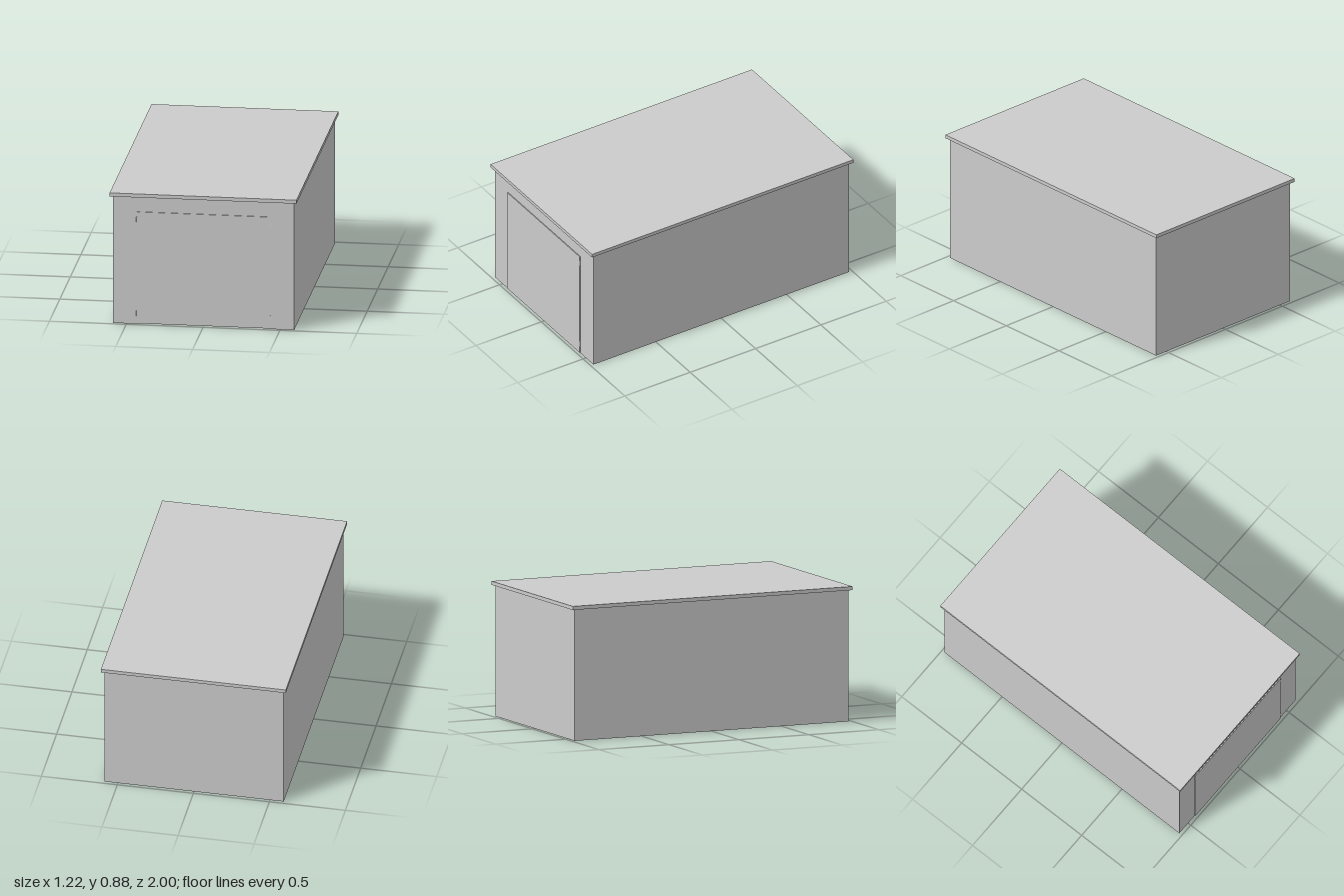
import * as THREE from 'three';

const material = new THREE.MeshStandardMaterial({ color: 0xcccccc, flatShading: true });

export function createModel() {
  const model = new THREE.Group();
  model.name = 'garage';

  const add = (name, geometry, x, y, z, parent = model) => {
    const mesh = new THREE.Mesh(geometry, material);
    mesh.name = name;
    mesh.position.set(x, y, z);
    parent.add(mesh);
    return mesh;
  };
  const box = (name, w, h, d, x, y, z, parent) =>
    add(name, new THREE.BoxGeometry(w, h, d), x, y, z, parent);

  const halfW = 0.59, halfD = 0.978, wallH = 0.857, t = 0.018;
  const doorHalf = 0.433, doorTop = 0.755;

  // Side and back walls
  for (const side of [-1, 1]) {
    box(side > 0 ? 'leftWall' : 'rightWall', t, wallH, halfD * 2,
      side * (halfW - t / 2), wallH / 2, 0);
  }
  box('backWall', (halfW - t) * 2, wallH, t, 0, wallH / 2, -halfD + t / 2);

  // Front wall with the doorway cut out of its lower edge
  const inner = halfW - t, open = doorHalf - 0.006, openTop = doorTop - 0.006;
  const front = new THREE.Shape([
    [-inner, 0], [-open, 0], [-open, openTop], [open, openTop],
    [open, 0], [inner, 0], [inner, wallH], [-inner, wallH],
  ].map(([x, y]) => new THREE.Vector2(x, y)));
  add('frontWall', new THREE.ExtrudeGeometry(front, { depth: t, bevelEnabled: false }),
    0, 0, halfD - t);

  // Floor slab, raised slightly above the wall bottoms
  box('floor', inner * 2, 0.012, (halfD - t) * 2, 0, 0.011, 0);

  // Overhanging flat roof
  box('roof', 1.216, 0.024, 2, 0, 0.869, 0);

  // Door panel, standing just proud of the front wall
  const door = new THREE.Group();
  door.name = 'door';
  model.add(door);
  box('doorPanel', doorHalf * 2, doorTop - 0.005, 0.018, 0, (doorTop + 0.005) / 2, 0.975, door);

  // Slim hinge pins near the four corners of the door
  for (const x of [-0.435, 0.435]) {
    for (const y of [0.072, 0.703]) {
      add('hingePin', new THREE.CylinderGeometry(0.0025, 0.0025, 0.036, 8), x, y, 0.981, door);
    }
  }

  return model;
}
